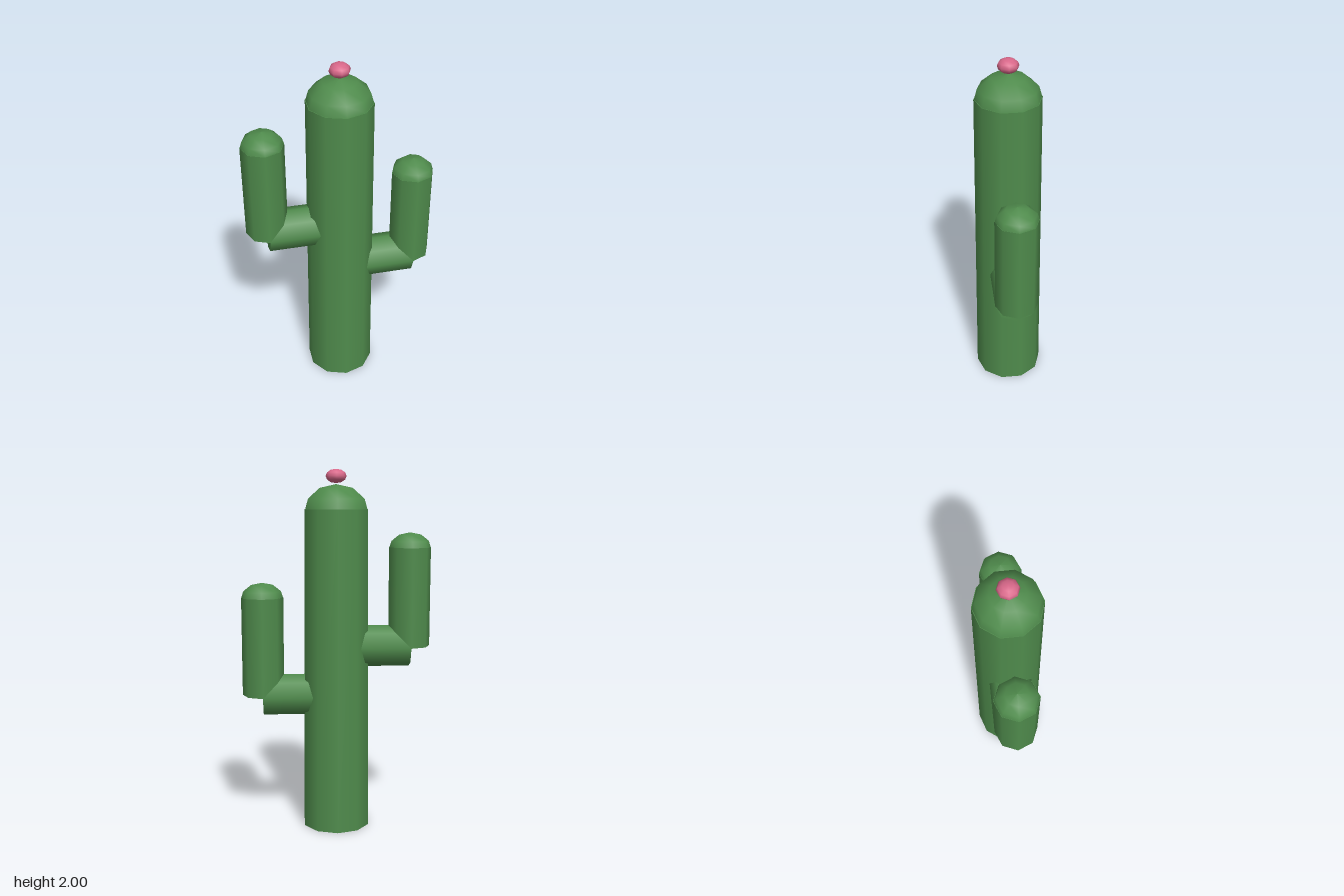
import * as THREE from 'three';

const green = new THREE.MeshStandardMaterial({ color: 0x4f8b4c });
green.name = 'cactus green';
const pink = new THREE.MeshStandardMaterial({ color: 0xd9688a });
pink.name = 'flower pink';

function addMesh(parent, name, geometry, material, x, y, z = 0) {
  const mesh = new THREE.Mesh(geometry, material);
  mesh.name = name;
  mesh.position.set(x, y, z);
  parent.add(mesh);
  return mesh;
}

// Low rounded cap with its base at y = 0
function domeGeometry(radius, height, sides) {
  const profile = [[1, 0], [0.91, 0.42], [0.53, 0.85], [0, 1]]
    .map(([r, y]) => new THREE.Vector2(r * radius, y * height));
  return new THREE.LatheGeometry(profile, sides);
}

// Side arm: horizontal branch, upright part and cap; side is +1 or -1
function createArm(name, side, y) {
  const radius = 0.116, reach = 0.408, height = 0.548;
  const arm = new THREE.Group();
  arm.name = name;
  const branch = addMesh(arm, 'armBranch',
    new THREE.CylinderGeometry(radius, radius, reach - 0.06, 8), green, side * (reach + 0.06) / 2, y);
  branch.rotation.z = -side * Math.PI / 2;
  addMesh(arm, 'armUpright',
    new THREE.CylinderGeometry(radius, radius, height, 8), green, side * reach, y + height / 2);
  addMesh(arm, 'armCap', domeGeometry(radius * 0.985, 0.081, 8), green, side * reach, y + height);
  return arm;
}

export function createModel() {
  const cactus = new THREE.Group();
  cactus.name = 'cactus';

  // Tapered ten-sided trunk and its cap
  const trunkHeight = 1.785;
  addMesh(cactus, 'trunk',
    new THREE.CylinderGeometry(0.178, 0.19, trunkHeight, 10), green, 0, trunkHeight / 2);
  addMesh(cactus, 'trunkCap', domeGeometry(0.175, 0.134, 10), green, 0, trunkHeight);

  // Arms at different heights
  cactus.add(createArm('leftArm', 1, 0.757));
  cactus.add(createArm('rightArm', -1, 1.03));

  // Flattened flower bud
  const flower = addMesh(cactus, 'flower', new THREE.SphereGeometry(0.057, 8, 6), pink, 0, 1.962);
  flower.scale.y = 0.67;

  return cactus;
}
